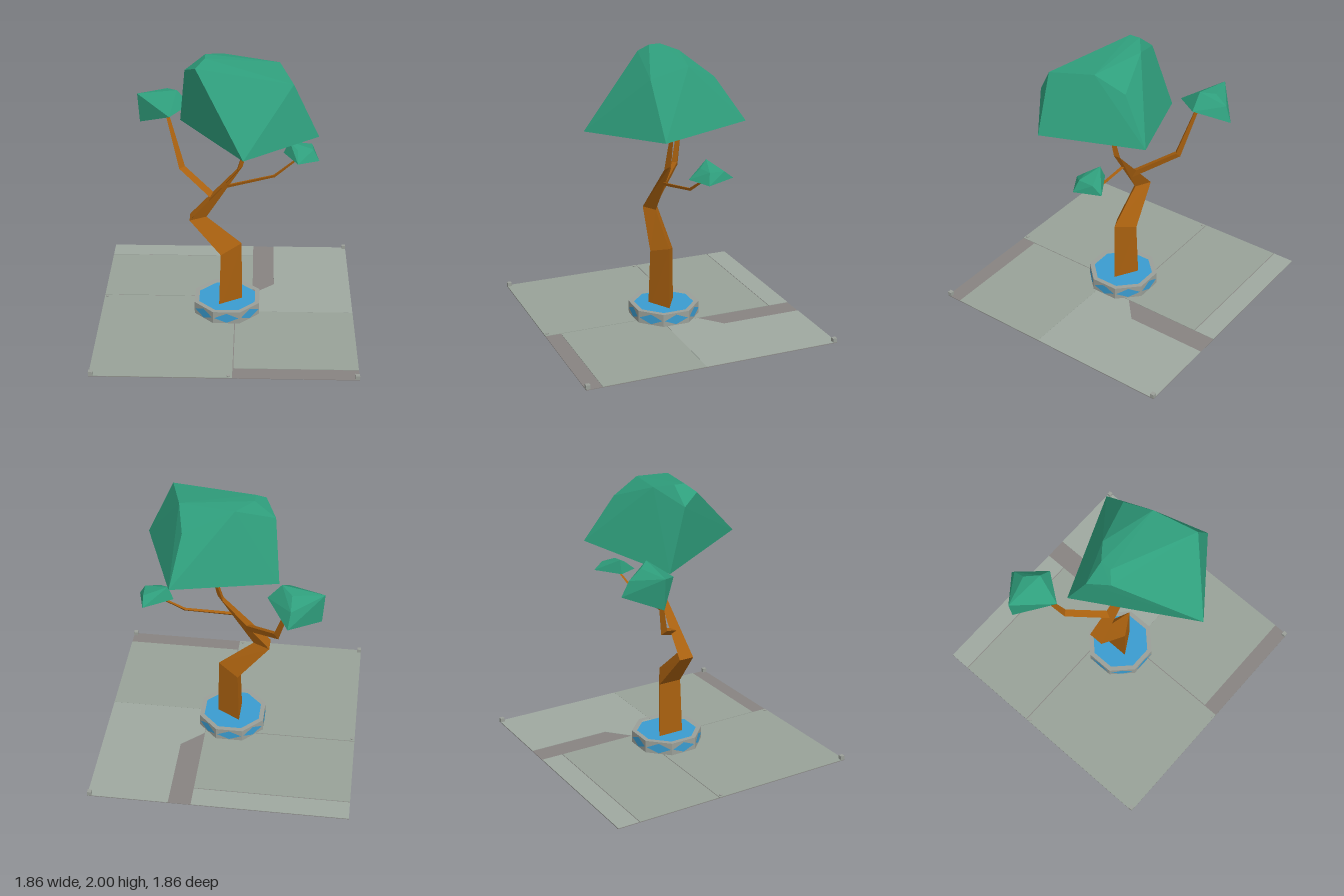
import * as THREE from 'three';
import { ConvexGeometry } from 'three/addons/geometries/ConvexGeometry.js';

const mat = (color) => new THREE.MeshStandardMaterial({ color, flatShading: true });
const leafMat = mat(0x2f9e7c), woodMat = mat(0xa8600f), blueMat = mat(0x3a9cd0);
const stoneMat = mat(0x9a9f98), pathMat = mat(0x878381), slabMat = mat(0x98a298), paleSlabMat = mat(0x9fa8a0);
const V = (p) => new THREE.Vector3(...p);

function add(parent, name, geometry, material, x = 0, y = 0, z = 0) {
  const mesh = new THREE.Mesh(geometry, material);
  mesh.name = name;
  mesh.position.set(x, y, z);
  parent.add(mesh);
  return mesh;
}

// Skin three-sided rings, listed bottom to top, and cap both ends
function loft(rings) {
  const pts = [];
  for (let k = 0; k < rings.length - 1; k++) {
    const a = rings[k], b = rings[k + 1];
    for (let i = 0; i < 3; i++) {
      const j = (i + 1) % 3;
      pts.push(a[i], a[j], b[j], a[i], b[j], b[i]);
    }
  }
  const first = rings[0], last = rings[rings.length - 1];
  pts.push(first[2], first[1], first[0], last[0], last[1], last[2]);
  const g = new THREE.BufferGeometry().setFromPoints(pts);
  g.computeVertexNormals();
  return g;
}

// Tapered three-sided branch through [x, y, z, radius] points
function branch(path) {
  const p = path.map(([x, y, z]) => V([x, y, z]));
  return loft(p.map((c, k) => {
    const dir = p[Math.min(k + 1, p.length - 1)].clone().sub(p[Math.max(k - 1, 0)]).normalize();
    const q = new THREE.Quaternion().setFromUnitVectors(V([0, 1, 0]), dir);
    return [0, 1, 2].map((i) => {
      const t = i * Math.PI * 2 / 3, r = path[k][3];
      return V([Math.cos(t) * r, 0, -Math.sin(t) * r]).applyQuaternion(q).add(c);
    });
  }));
}

// Flat extruded outline in the ground plane, given as [x, z] corners
function plate(outline, height, hole) {
  const shape = new THREE.Shape(outline.map(([x, z]) => new THREE.Vector2(x, -z)));
  if (hole) shape.holes.push(new THREE.Path(hole.map(([x, z]) => new THREE.Vector2(x, -z))));
  return new THREE.ExtrudeGeometry(shape, { depth: height, bevelEnabled: false }).rotateX(-Math.PI / 2);
}
const rect = (x0, x1, z0, z1) => [[x0, z0], [x1, z0], [x1, z1], [x0, z1]];
const octagon = (r) => Array.from({ length: 8 }, (_, i) => {
  const t = (i + 0.5) * Math.PI / 4;
  return [Math.cos(t) * r, Math.sin(t) * r];
});

function buildGround() {
  const ground = new THREE.Group();
  ground.name = 'ground';
  add(ground, 'path', plate(rect(-0.93, 0.93, -0.93, 0.93), 0.004), pathMat, 0, 0.005);
  // Paving slabs with narrow joints, leaving the paths bare
  const slabs = [
    [rect(-0.93, 0.187, -0.93, -0.773), paleSlabMat],
    [rect(-0.93, 0.187, -0.767, -0.148), slabMat],
    [rect(-0.93, 0.057, -0.142, 0.93), slabMat],
    [[[0.35, -0.93], [0.93, -0.93], [0.93, 0.07], [0.063, 0.07], [0.063, -0.142], [0.19, -0.142], [0.19, -0.19], [0.35, -0.33]], paleSlabMat],
    [rect(0.063, 0.93, 0.071, 0.815), slabMat],
  ];
  for (const [outline, m] of slabs) add(ground, 'slab', plate(outline, 0.003), m, 0, 0.009);
  // Corner posts and small edge studs
  for (const [x, z] of [[-0.915, 0.915], [0.915, 0.915], [0.915, -0.915]])
    add(ground, 'cornerPost', new THREE.BoxGeometry(0.03, 0.03, 0.03), stoneMat, x, 0.025, z);
  for (const [x, z] of [[0.03, 0.91], [-0.91, -0.12]])
    add(ground, 'edgeStud', new THREE.CylinderGeometry(0.013, 0.013, 0.01, 6), stoneMat, x, 0.015, z);
  return ground;
}

function buildPlanter() {
  const planter = new THREE.Group();
  planter.name = 'planter';
  add(planter, 'planterWall', plate(octagon(0.258), 0.105, octagon(0.222)), stoneMat);
  add(planter, 'planterFill', plate(octagon(0.23), 0.08), blueMat, 0, 0.008);
  // One diamond inlay per side
  const diamond = new THREE.ShapeGeometry(new THREE.Shape(
    [[0.09, 0], [0, 0.038], [-0.09, 0], [0, -0.038]].map(([x, y]) => new THREE.Vector2(x, y))));
  for (let i = 0; i < 8; i++) {
    const t = i * Math.PI / 4;
    add(planter, 'diamondInlay', diamond, blueMat, Math.sin(t) * 0.24, 0.055, Math.cos(t) * 0.24).rotation.y = t;
  }
  return planter;
}

function buildTree() {
  const tree = new THREE.Group();
  tree.name = 'tree';
  // Trunk rings: [right x, right y, left x, left y, half depth]
  const trunk = [
    [0.11, 0.003, -0.06, 0.003, 0.1],
    [0.105, 0.55, -0.045, 0.495, 0.087],
    [-0.15, 0.765, -0.27, 0.76, 0.055],
    [0.11, 1.17, 0.07, 1.14, 0.025],
    [0.197, 1.52, 0.18, 1.52, 0.01],
  ].map(([rx, ry, lx, ly, d]) => [V([rx, ry, 0]), V([lx, ly, -d]), V([lx, ly, d])]);
  add(tree, 'trunk', loft(trunk), woodMat);
  add(tree, 'rightBranch', branch([[-0.09, 0.91, 0, 0.03], [-0.34, 1.04, -0.235, 0.029], [-0.45, 1.44, -0.335, 0.014]]), woodMat);
  add(tree, 'leftBranch', branch([[0, 1.015, 0, 0.014], [0.335, 1.07, -0.06, 0.012], [0.53, 1.21, -0.11, 0.008]]), woodMat);

  // Faceted foliage clumps
  const clumps = {
    mainCanopy: [
      [0.12, 1.505, 0.635], [0.63, 1.515, 0.245], [0.375, 1.53, -0.455], [-0.34, 1.445, -0.18],
      [0.45, 1.905, 0.28], [-0.215, 1.945, 0.11], [-0.295, 1.88, -0.035], [-0.15, 2, -0.03],
      [-0.15, 1.998, 0.05], [-0.03, 1.97, -0.125], [0.36, 1.945, -0.03], [0.31, 1.845, -0.245],
    ],
    rightCanopy: [
      [-0.65, 1.33, -0.41], [-0.435, 1.39, -0.61], [-0.28, 1.48, -0.39], [-0.42, 1.455, -0.2],
      [-0.665, 1.55, -0.41], [-0.375, 1.59, -0.385], [-0.45, 1.5, -0.56], [-0.45, 1.57, -0.47],
    ],
    leftCanopy: [
      [0.4, 1.215, -0.14], [0.6, 1.21, -0.26], [0.653, 1.19, -0.06], [0.5, 1.2, 0.025],
      [0.44, 1.31, -0.13], [0.605, 1.265, -0.19], [0.61, 1.27, -0.08], [0.5, 1.27, -0.06],
    ],
  };
  for (const [name, pts] of Object.entries(clumps)) add(tree, name, new ConvexGeometry(pts.map(V)), leafMat);
  return tree;
}

export function createModel() {
  const model = new THREE.Group();
  model.name = 'plazaTree';
  model.add(buildGround(), buildPlanter(), buildTree());
  return model;
}
